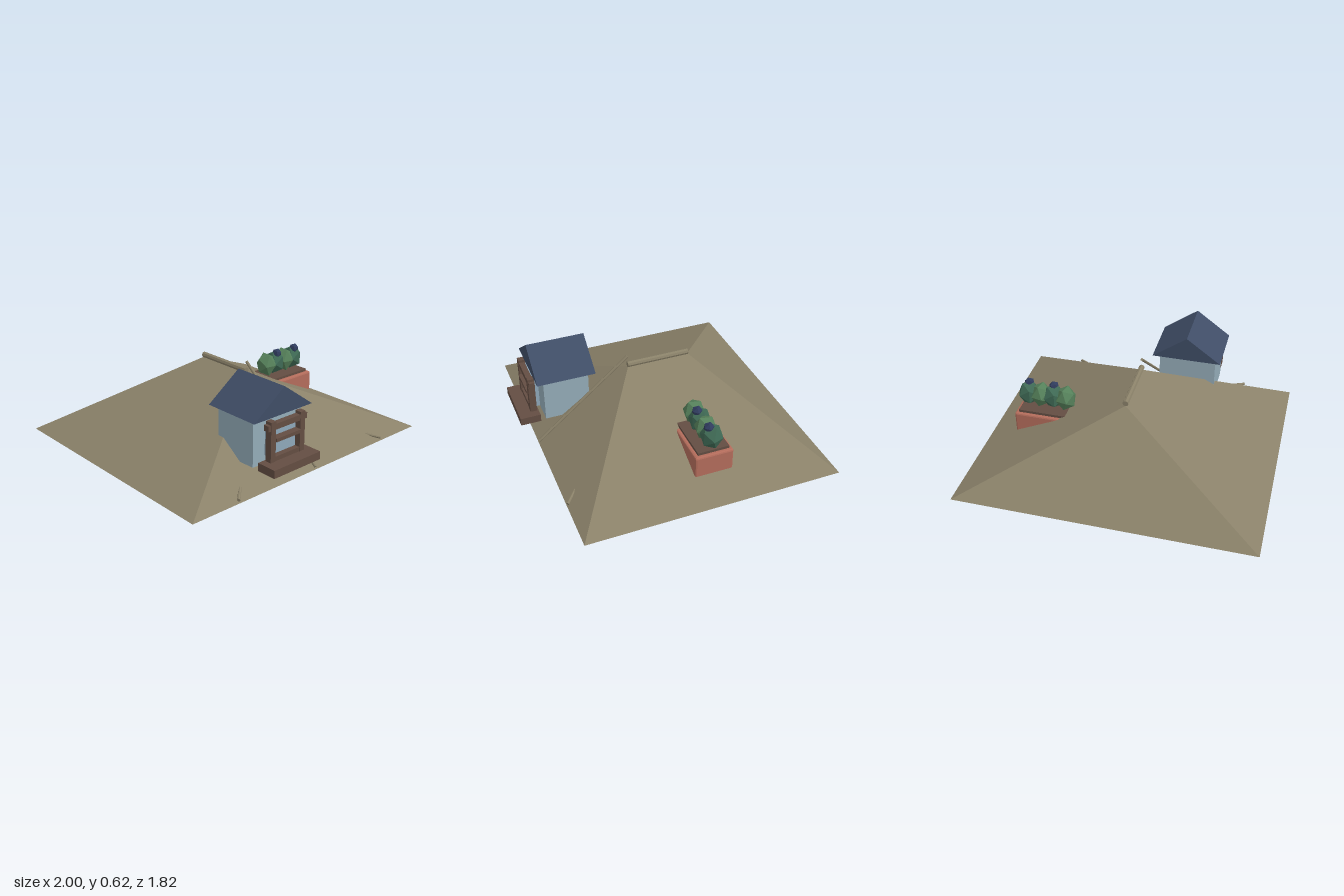
import * as THREE from 'three';
import { RoundedBoxGeometry } from 'three/addons/geometries/RoundedBoxGeometry.js';

const material = (name, color) => {
  const m = new THREE.MeshStandardMaterial({ color });
  m.name = name;
  m.flatShading = true;
  return m;
};

export function createModel() {
  const root = new THREE.Group();
  root.name = 'roofSection';

  const tile = material('roofTan', 0x8a8169);
  const slate = material('slateBlue', 0x3f4d66);
  const wall = material('paleBlueWall', 0x94acb8);
  const glass = material('windowGlass', 0x8ea7b9);
  const wood = material('darkWood', 0x634d42);
  const clay = material('terracotta', 0xb36c5b);
  const leafLight = material('lightLeaf', 0x55805a);
  const leafDark = material('darkLeaf', 0x3f6a55);
  const bloom = material('blueFlower', 0x303c5e);

  const add = (parent, name, geometry, mat) => {
    const mesh = new THREE.Mesh(geometry, mat);
    mesh.name = name;
    parent.add(mesh);
    return mesh;
  };
  const group = (name) => {
    const g = new THREE.Group();
    g.name = name;
    root.add(g);
    return g;
  };
  // Box given by its low and high limits on each axis
  const box = (parent, name, mat, [x0, x1], [y0, y1], [z0, z1]) => {
    const mesh = add(parent, name, new THREE.BoxGeometry(x1 - x0, y1 - y0, z1 - z0), mat);
    mesh.position.set((x0 + x1) / 2, (y0 + y1) / 2, (z0 + z1) / 2);
    return mesh;
  };
  // Round rod between two points
  const rod = (name, a, b, radius) => {
    const start = new THREE.Vector3(...a), end = new THREE.Vector3(...b);
    const dir = end.clone().sub(start);
    const mesh = add(root, name, new THREE.CylinderGeometry(radius, radius, dir.length(), 8), tile);
    mesh.position.copy(start).add(end).multiplyScalar(0.5);
    mesh.quaternion.setFromUnitVectors(new THREE.Vector3(0, 1, 0), dir.normalize());
  };

  // Main hipped roof: four corners and two ridge ends
  const hip = new THREE.BufferGeometry();
  hip.setAttribute('position', new THREE.Float32BufferAttribute([
    -1, 0, 0.82, 1, 0, 0.82, 1, 0, -0.91, -1, 0, -0.91,
    0, 0.47, 0.17, 0, 0.47, -0.26,
  ], 3));
  hip.setIndex([0, 1, 4, 1, 2, 5, 1, 5, 4, 2, 3, 5, 3, 0, 4, 3, 4, 5, 0, 3, 2, 0, 2, 1]);
  const hipFlat = hip.toNonIndexed();
  hipFlat.computeVertexNormals();
  add(root, 'mainRoof', hipFlat, tile);

  // Ridge cap, long front pole and the two short corner rods
  rod('ridgeCap', [0, 0.487, 0.175], [0, 0.487, -0.26], 0.02);
  rod('frontPole', [0, 0.02, 0.82], [0, 0.55, 0.175], 0.01);
  for (const s of [-1, 1]) rod('cornerRod', [s * 0.65, 0.02, 0.815], [s * 0.55, 0.055, 0.72], 0.01);

  // Dormer body and gabled roof
  const dormer = group('dormer');
  box(dormer, 'dormerWalls', wall, [-0.47, -0.07], [0.14, 0.455], [0.43, 0.74]);
  const gable = new THREE.Shape([
    new THREE.Vector2(-0.51, 0.45), new THREE.Vector2(-0.025, 0.45), new THREE.Vector2(-0.2675, 0.625),
  ]);
  add(dormer, 'dormerRoof', new THREE.ExtrudeGeometry(gable, { depth: 0.4, bevelEnabled: false }), slate)
    .position.z = 0.39;

  // Window with wooden frame and deep sill
  const frame = group('window');
  box(frame, 'pane', glass, [-0.39, -0.145], [0.205, 0.405], [0.757, 0.79]);
  for (const x of [-0.39, -0.145]) box(frame, 'post', wood, [x - 0.02, x + 0.02], [0.18, 0.443], [0.785, 0.83]);
  box(frame, 'topRail', wood, [-0.43, -0.105], [0.388, 0.425], [0.788, 0.827]);
  box(frame, 'middleRail', wood, [-0.37, -0.165], [0.31, 0.333], [0.79, 0.837]);
  box(frame, 'bottomRail', wood, [-0.37, -0.165], [0.18, 0.212], [0.79, 0.827]);
  box(frame, 'sill', wood, [-0.46, -0.07], [0.13, 0.183], [0.775, 0.913]);

  // Planter box with soil
  const planter = group('planter');
  add(planter, 'planterBox', new RoundedBoxGeometry(0.37, 0.19, 0.262, 1, 0.012), clay)
    .position.set(0.61, 0.15, -0.108);
  box(planter, 'soil', wood, [0.43, 0.77], [0.235, 0.263], [-0.217, -0.002]);

  // Faceted bushes with two flowers
  [0.463, 0.55, 0.64, 0.727].forEach((x, i) => {
    const bush = add(planter, 'bush', new THREE.IcosahedronGeometry(1, 0), i % 2 ? leafDark : leafLight);
    bush.scale.set(0.078, 0.091, 0.075);
    bush.rotation.y = i % 2 ? 0.35 : Math.PI / 2 - 0.2;
    bush.position.set(x, 0.343, -0.11);
    if (i % 2) {
      const flower = add(planter, 'flower', new THREE.IcosahedronGeometry(0.036, 0), bloom);
      flower.rotation.set(0.3, 0.5, 0.2);
      flower.position.set(x, 0.413, -0.09);
    }
  });

  return root;
}
